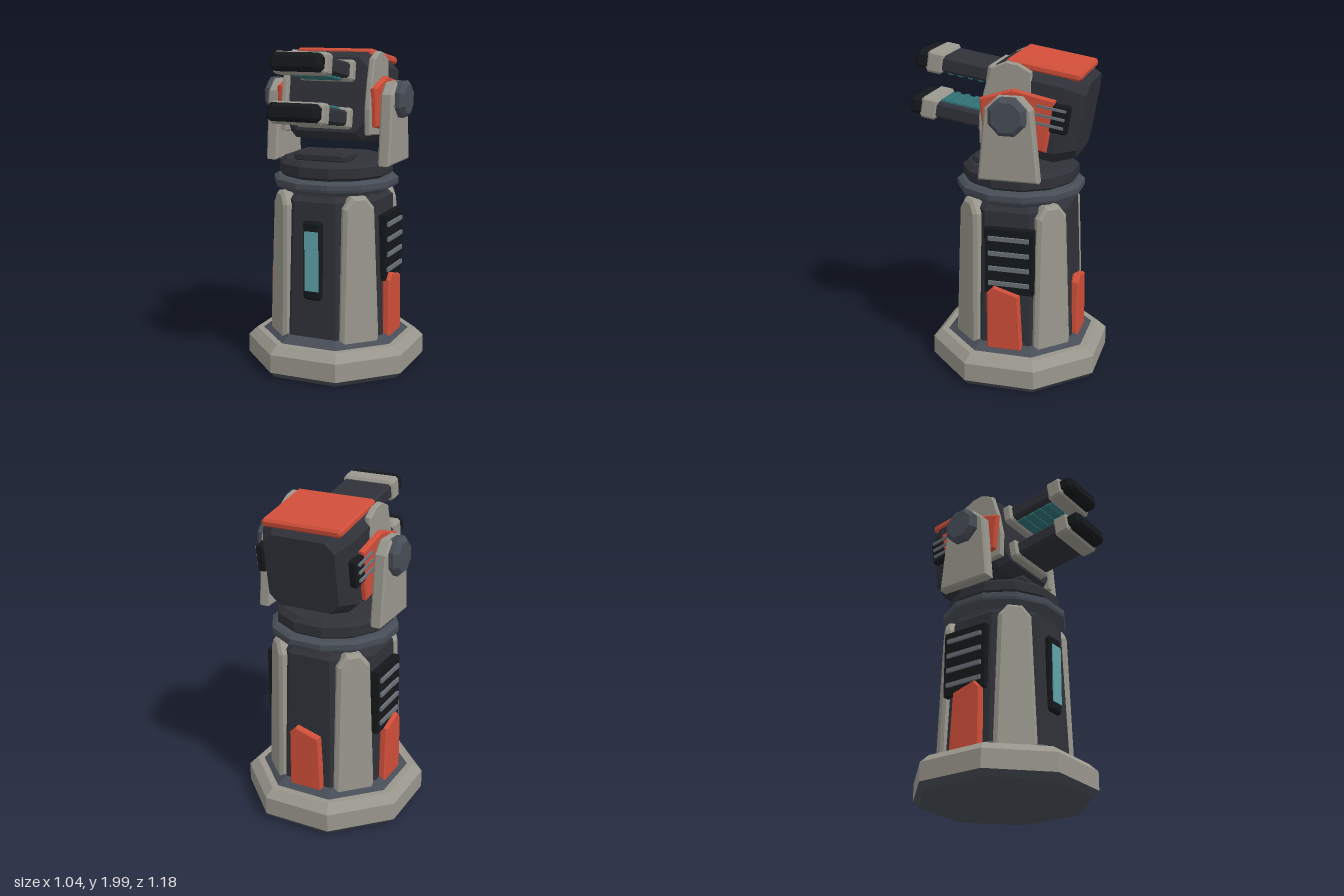
import * as THREE from 'three';
import { ConvexGeometry } from 'three/addons/geometries/ConvexGeometry.js';

const paint = (color) => new THREE.MeshStandardMaterial({ color, flatShading: true });
const GREY = paint(0x98968c), DARK = paint(0x2f3138), STEEL = paint(0x474d56);
const BLACK = paint(0x15181b), RED = paint(0xcf4e39), CYAN = paint(0x5fa3a8), SLAT = paint(0x6a7077);
const TEAL = paint(0x2f6f73);
const CZ = -0.07; // axis of the tower

function add(parent, name, geometry, material, x = 0, y = 0, z = 0) {
  const mesh = new THREE.Mesh(geometry, material);
  mesh.name = name;
  mesh.position.set(x, y, z);
  parent.add(mesh);
  return mesh;
}

// Bevelled plate with an outline in XY, centred on its thickness along Z
function plate(points, thickness, bevel = 0.01) {
  const shape = new THREE.Shape(points.map(([x, y]) => new THREE.Vector2(x, y)));
  const depth = thickness - 2 * bevel;
  return new THREE.ExtrudeGeometry(shape, {
    depth, bevelEnabled: true, bevelThickness: bevel, bevelSize: bevel, bevelOffset: -bevel, bevelSegments: 1,
  }).translate(0, 0, -depth / 2);
}

// The same plate standing sideways: outline given as [z, y], thickness along X
const sidePlate = (points, thickness, bevel) => plate(points, thickness, bevel).rotateY(-Math.PI / 2);

// Rectangle outline with cut corners
function cutRect(hw, hh, c) {
  return [[hw, hh - c], [hw - c, hh], [c - hw, hh], [-hw, hh - c],
    [-hw, c - hh], [c - hw, -hh], [hw - c, -hh], [hw, c - hh]];
}
const block = (w, h, d, c = 0.015) => plate(cutRect(w / 2, h / 2, c), d, c);

// Faceted turned part with flats to the front; profile of [distance to flat, y], bottom to top
function turned(profile, sides) {
  const k = 1 / Math.cos(Math.PI / sides);
  return new THREE.LatheGeometry(profile.map(([r, y]) => new THREE.Vector2(r * k, y)), sides, Math.PI / sides);
}

function buildTower(root) {
  const tower = new THREE.Group();
  tower.name = 'tower';
  tower.position.z = CZ;
  root.add(tower);

  // Octagonal base
  add(tower, 'baseUnderside', turned([[0, 0], [0.49, 0], [0.52, 0.035]], 8), STEEL);
  add(tower, 'baseRim', turned([[0.52, 0.035], [0.52, 0.15], [0.47, 0.2], [0.4, 0.2]], 8), GREY);
  add(tower, 'baseStep', turned([[0.43, 0.2], [0.38, 0.24], [0.3, 0.24]], 8), STEEL);

  // Column and its stacked collars
  add(tower, 'column', turned([[0.365, 0.2], [0.33, 1.08], [0.28, 1.13], [0, 1.13]], 8), DARK);
  add(tower, 'lowerCollar', turned([[0.28, 1.08], [0.32, 1.125], [0.375, 1.15], [0.38, 1.165], [0.38, 1.195],
    [0.355, 1.21], [0, 1.21]], 12), STEEL);
  add(tower, 'turntable', turned([[0.3, 1.2], [0.345, 1.23], [0.345, 1.29], [0.31, 1.32], [0, 1.32]], 12), DARK);

  // Four corner buttresses leaning slightly inwards
  const buttress = plate([[-0.128, 0], [0.128, 0], [0.1, 0.85], [0.045, 0.92], [-0.045, 0.92], [-0.1, 0.85]], 0.1, 0.02);
  for (let i = 0; i < 4; i++) {
    const corner = new THREE.Group();
    corner.name = 'buttress' + (i + 1);
    corner.rotation.y = Math.PI / 4 + i * Math.PI / 2;
    tower.add(corner);
    add(corner, 'buttressSlab', buttress, GREY, 0, 0.2, 0.352).rotation.x = -0.025;
  }

  // Front light panel
  add(tower, 'lightFrame', block(0.12, 0.49, 0.05), BLACK, 0, 0.725, 0.355);
  add(tower, 'lightStrip', new THREE.BoxGeometry(0.09, 0.37, 0.01), CYAN, 0, 0.725, 0.38);

  // Side vents with slats, and red armour at the sides and back
  const armour = [[-0.11, 0], [0.11, 0], [0.108, 0.365], [0.065, 0.41], [-0.09, 0.365]];
  for (const s of [1, -1]) {
    add(tower, 'sideVent', new THREE.BoxGeometry(0.05, 0.41, 0.3), BLACK, s * 0.355, 0.785, -0.025);
    for (let i = 0; i < 4; i++) {
      add(tower, 'ventSlat', new THREE.BoxGeometry(0.03, 0.026, 0.25), SLAT, s * 0.378, 0.645 + i * 0.095, -0.025);
    }
    add(tower, 'sideArmour', sidePlate(armour, 0.05), RED, s * 0.38, 0.215, 0);
  }
  add(tower, 'backArmour', plate(armour, 0.05), RED, 0, 0.215, -0.372);
  add(tower, 'frontStep', block(0.34, 0.07, 0.2, 0.02), DARK, 0, 1.342, 0.165);
}

function buildYoke(root) {
  const arm = sidePlate([[0.085, 1.295], [0.045, 1.72], [-0.03, 1.79], [-0.17, 1.79], [-0.235, 1.72], [-0.28, 1.295]].reverse(), 0.078, 0.012);
  const hub = turned([[0.105, 0], [0.11, 0.05], [0.085, 0.075], [0, 0.075]], 8);
  const axle = new THREE.CylinderGeometry(0.08, 0.08, 0.12, 8);
  for (const s of [1, -1]) {
    add(root, 'yokeArm', arm, GREY, s * 0.372, 0, 0);
    add(root, 'yokeHub', hub, STEEL, s * 0.39, 1.685, -0.1).rotation.z = -s * Math.PI / 2;
    add(root, 'axle', axle, DARK, s * 0.32, 1.685, -0.1).rotation.z = Math.PI / 2;
  }
}

function buildBarrel(head, v, inner) {
  const barrel = new THREE.Group();
  barrel.name = inner < 0 ? 'upperBarrel' : 'lowerBarrel';
  barrel.position.y = v;
  head.add(barrel);
  add(barrel, 'rearClamp', block(0.35, 0.13, 0.1), GREY, 0, 0, 0.175);
  add(barrel, 'barrelBody', block(0.315, 0.095, 0.32), DARK, 0, 0, 0.36);
  add(barrel, 'frontClamp', block(0.335, 0.13, 0.105), GREY, 0, 0, 0.55);
  add(barrel, 'muzzle', block(0.315, 0.105, 0.1, 0.022), BLACK, 0, 0, 0.625);
  // Glowing strip with cross ribs on the face turned to the other barrel
  add(barrel, 'glowStrip', new THREE.BoxGeometry(0.23, 0.012, 0.27), TEAL, 0, inner * 0.05, 0.36);
  for (let i = 0; i < 4; i++) {
    add(barrel, 'glowRib', block(0.24, 0.022, 0.035, 0.006), TEAL, 0, inner * 0.054, 0.27 + i * 0.063);
  }
}

function buildHead(root) {
  const head = new THREE.Group();
  head.name = 'head';
  head.position.set(0, 1.685, -0.1);
  head.rotation.x = -0.165;
  root.add(head);

  // Chamfered body from four cross-sections [z, half width, half height, corner cut]
  const points = [];
  for (const [z, hw, hh, c] of [[-0.387, 0.225, 0.222, 0.06], [-0.27, 0.29, 0.266, 0.07],
    [0.1, 0.29, 0.266, 0.07], [0.17, 0.25, 0.225, 0.06]]) {
    for (const [x, y] of cutRect(hw, hh, c)) points.push(new THREE.Vector3(x, y, z));
  }
  add(head, 'headBody', new ConvexGeometry(points), DARK);
  add(head, 'roofArmour', block(0.505, 0.05, 0.445, 0.014), RED, 0, 0.263, -0.122);

  // Cheek frames, red side armour and side vents
  const frame = sidePlate([[0.17, -0.235], [0.2, -0.08], [0.195, 0.07], [0.175, 0.22], [0.09, 0.275],
    [0.02, 0.275], [-0.065, 0.245], [-0.1, 0.05], [-0.06, -0.22]], 0.04, 0.008);
  const armour = sidePlate([[0.146, -0.185], [0.207, 0.04], [0.022, 0.133], [-0.235, 0.122], [-0.232, -0.19]], 0.04);
  for (const s of [1, -1]) {
    add(head, 'cheekFrame', frame, GREY, s * 0.275, 0, 0);
    add(head, 'sideArmour', armour, RED, s * 0.305, 0, 0);
    add(head, 'sideVent', block(0.05, 0.17, 0.12, 0.01), BLACK, s * 0.297, 0.02, -0.27);
    for (let i = 0; i < 3; i++) {
      add(head, 'ventSlat', new THREE.BoxGeometry(0.02, 0.014, 0.175), SLAT, s * 0.326, -0.025 + i * 0.05, -0.22);
    }
  }
  buildBarrel(head, 0.142, -1);
  buildBarrel(head, -0.142, 1);
}

export function createModel() {
  const root = new THREE.Group();
  root.name = 'sentryTurret';
  buildTower(root);
  buildYoke(root);
  buildHead(root);
  return root;
}
